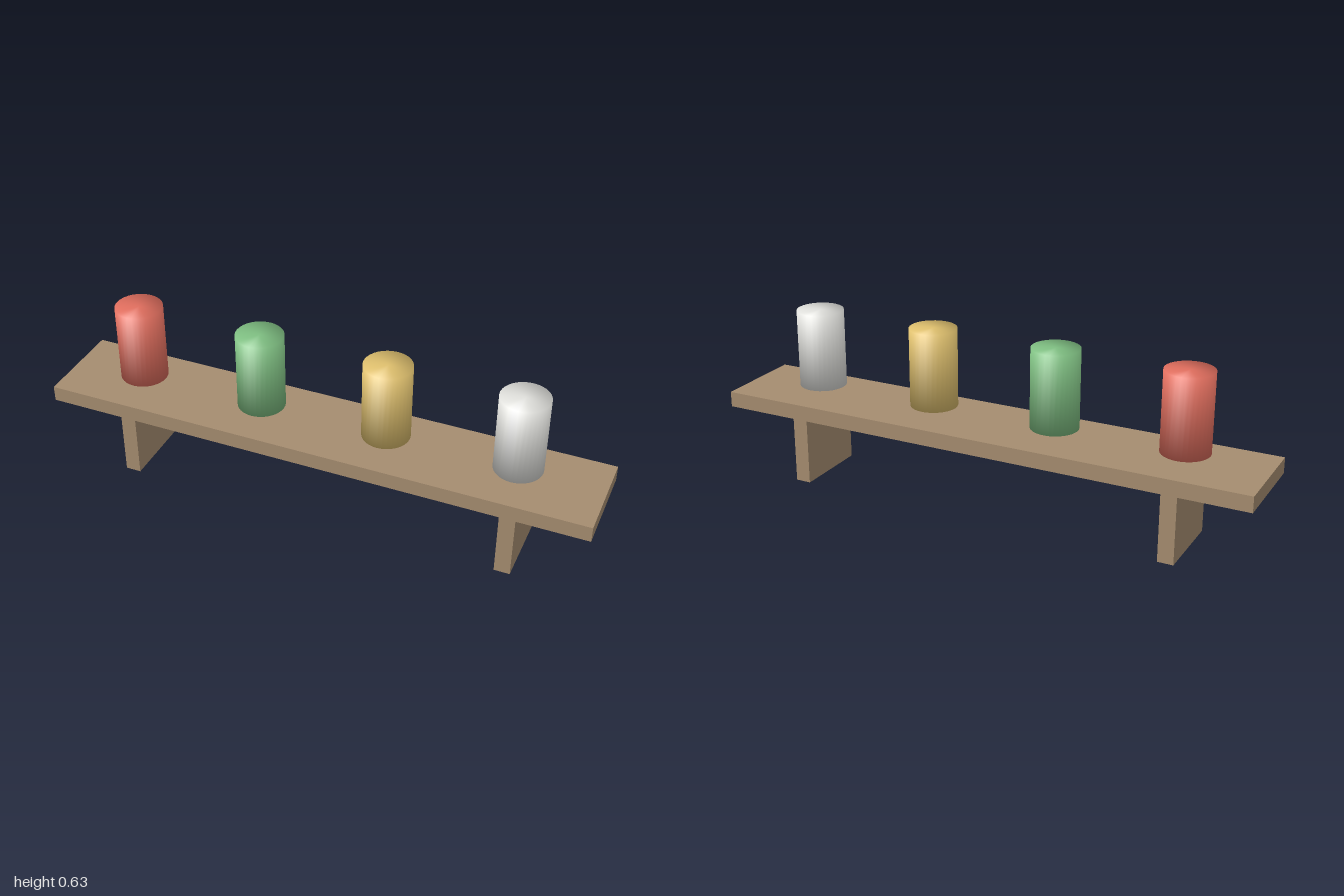
import * as THREE from 'three';

const material = (name, color) => {
  const m = new THREE.MeshStandardMaterial({ color });
  m.name = name;
  return m;
};

// Capped cylinder with normals blended softly across both rims
function softCylinder(radius, height) {
  const geometry = new THREE.CylinderGeometry(radius, radius, height, 32);
  const { position, normal } = geometry.attributes;
  const n = new THREE.Vector3();
  for (let i = 0; i < position.count; i++) {
    n.set(position.getX(i), Math.sign(position.getY(i)) * radius, position.getZ(i)).normalize();
    normal.setXYZ(i, n.x, n.y, n.z);
  }
  return geometry;
}

export function createModel() {
  const model = new THREE.Group();
  model.name = 'benchWithCans';
  const wood = material('wood', 0xa68d70);

  const add = (name, geometry, mat, x, y, z = 0) => {
    const mesh = new THREE.Mesh(geometry, mat);
    mesh.name = name;
    mesh.position.set(x, y, z);
    model.add(mesh);
  };

  // Plank
  add('plank', new THREE.BoxGeometry(2, 0.057, 0.343), wood, 0, 0.2865);

  // Legs, mirrored left and right
  const leg = new THREE.BoxGeometry(0.057, 0.258, 0.286);
  add('leftLeg', leg, wood, 0.714, 0.129);
  add('rightLeg', leg, wood, -0.714, 0.129);

  // Row of cans hovering just above the plank
  const can = softCylinder(0.0857, 0.286);
  [['red', 0xe06e5e], ['green', 0x7fbf82], ['yellow', 0xdfc06e], ['white', 0xe0e0dc]].forEach(([name, color], i) => {
    add(name + 'Can', can, material(name, color), -0.714 + i * 0.4714, 0.487);
  });

  return model;
}
